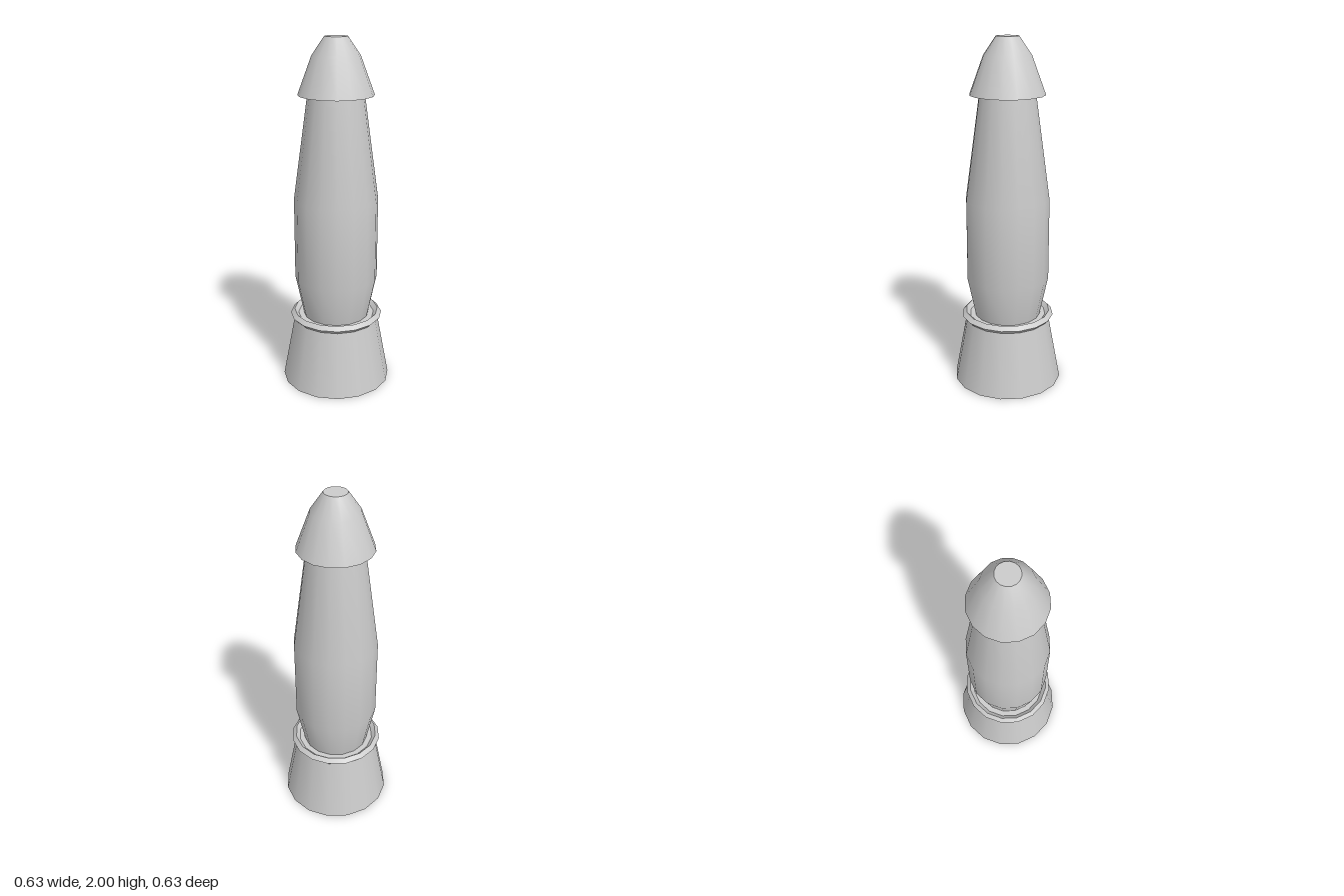
import * as THREE from 'three';
import { mergeGeometries } from 'three/addons/utils/BufferGeometryUtils.js';

const SIDES = 16;
const material = new THREE.MeshStandardMaterial({ color: 0xcccccc });

// Turned part: each run of [radius, y] points is smooth, with a sharp edge between runs.
function turned(name, ...runs) {
  const pieces = runs.map((run) =>
    new THREE.LatheGeometry(run.map(([r, y]) => new THREE.Vector2(r, y)), SIDES));
  const mesh = new THREE.Mesh(mergeGeometries(pieces), material);
  mesh.name = name;
  return mesh;
}

export function createModel() {
  const group = new THREE.Group();
  group.name = 'turnedPost';

  // Flared foot, closed below and above
  group.add(turned('base',
    [[0, 0], [0.315, 0]],
    [[0.315, 0], [0.24, 0.403]],
    [[0.24, 0.403], [0, 0.403]]));

  // Diamond-section ring around the top of the foot
  const R = 0.245, r = 0.023, y = 0.403;
  const corners = [[R, y - r], [R + r, y], [R, y + r], [R - r, y]];
  group.add(turned('collar',
    ...corners.map((c, i) => [c, corners[(i + 1) % 4]])));

  // Swelling shaft
  group.add(turned('shaft',
    [[0.19, 0.403], [0.238, 0.635], [0.238, 1.105], [0.157, 1.69]]));

  // Overhanging cap with a flat tip
  group.add(turned('cap',
    [[0, 1.69], [0.21, 1.69]],
    [[0.21, 1.69], [0.132, 1.9], [0.063, 2]],
    [[0.063, 2], [0, 2]]));

  return group;
}
